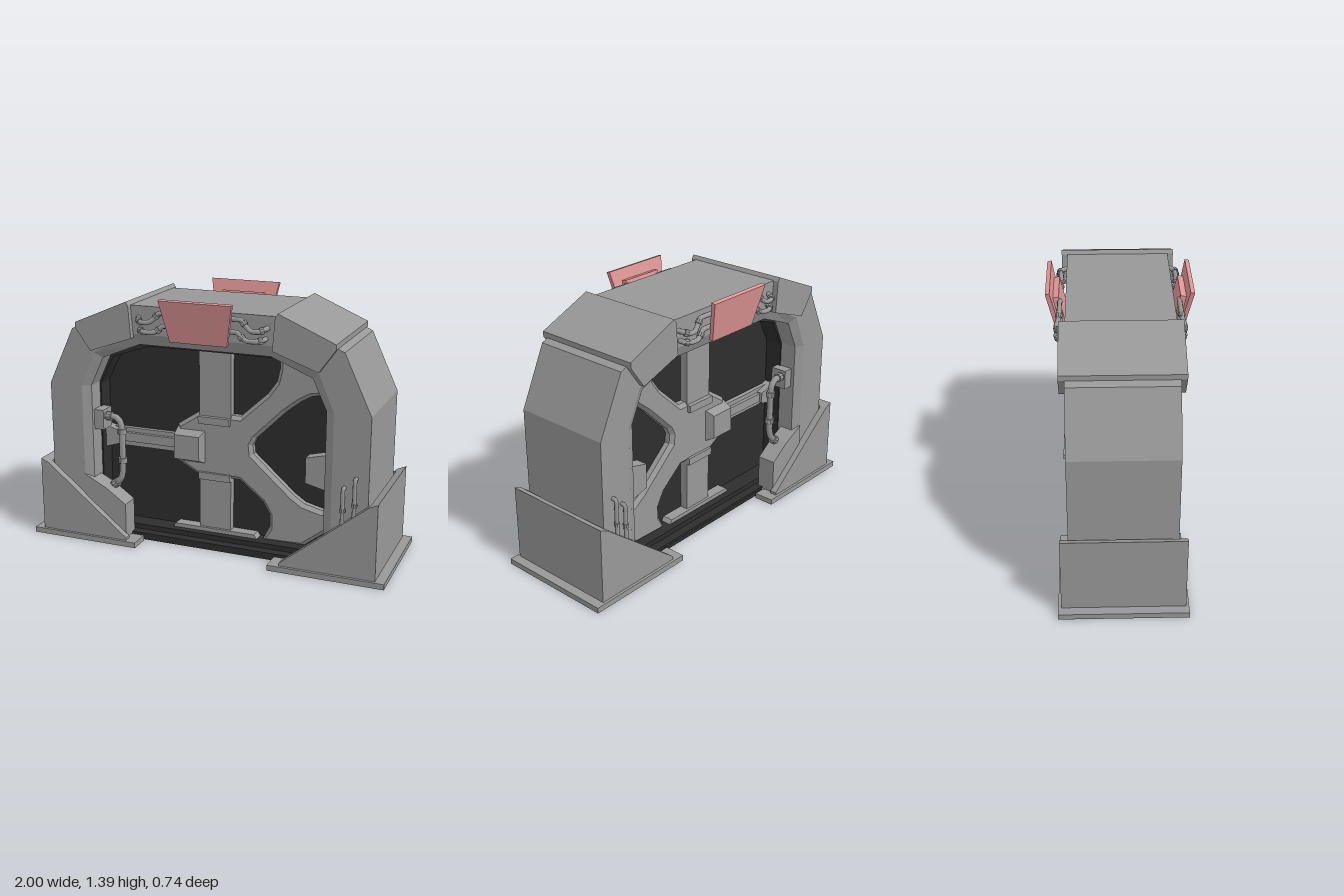
import * as THREE from 'three';

const paint = (color, flatShading = true) => new THREE.MeshStandardMaterial({ color, flatShading, side: THREE.DoubleSide });
const grey = paint(0x989898);
const smooth = paint(0x989898, false);
const dark = paint(0x2d2d2d);
const red = paint(0xe09696);

function add(parent, name, geometry, material = grey) {
  const mesh = new THREE.Mesh(geometry, material);
  mesh.name = name;
  parent.add(mesh);
  return mesh;
}

// Box given by its limits
function box(parent, name, x0, x1, y0, y1, z0, z1, material) {
  const g = new THREE.BoxGeometry(x1 - x0, y1 - y0, z1 - z0);
  g.translate((x0 + x1) / 2, (y0 + y1) / 2, (z0 + z1) / 2);
  return add(parent, name, g, material);
}

const shapeOf = (pts) => new THREE.Shape(pts.map((p) => new THREE.Vector2(...p)));

// Outline in the xy plane pushed from z0 to z1, with an optional bevel
function slab(parent, name, pts, z0, z1, material, bevel = 0, hole = null) {
  const s = shapeOf(pts);
  if (hole) s.holes.push(shapeOf(hole));
  const g = new THREE.ExtrudeGeometry(s, {
    depth: z1 - z0 - 2 * bevel, bevelEnabled: bevel > 0, bevelSegments: 1,
    bevelSize: bevel, bevelThickness: bevel, bevelOffset: -bevel,
  });
  g.translate(0, 0, z0 + bevel);
  return add(parent, name, g, material);
}

// Round pipe with bends, plus collars at the listed fractions
function pipe(parent, name, pts, r, collars = []) {
  const curve = new THREE.CatmullRomCurve3(pts.map((p) => new THREE.Vector3(...p)), false, 'catmullrom', 0.2);
  add(parent, name, new THREE.TubeGeometry(curve, 32, r, 8), smooth);
  for (const t of collars) {
    const c = add(parent, name + 'Collar', new THREE.CylinderGeometry(r * 1.4, r * 1.4, r * 1.6, 10));
    c.position.copy(curve.getPointAt(t));
    c.quaternion.setFromUnitVectors(new THREE.Vector3(0, 1, 0), curve.getTangentAt(t));
  }
}

// Adds a group and its mirrored copy across one axis
function mirror(parent, group, axis) {
  const copy = group.clone();
  copy.scale[axis] *= -1;
  copy.name = group.name + 'Mirrored';
  parent.add(group, copy);
}

function named(name) {
  const g = new THREE.Group();
  g.name = name;
  return g;
}

const arch = (half) => [...half, ...half.map(([x, y]) => [-x, y]).reverse()];

// Arch: a chamfered section carried along matching outer and inner outlines
function archGeometry() {
  const outer = arch([[0.89, 0.03], [0.89, 0.87], [0.745, 1.18], [0.4, 1.33]]);
  const lip = arch([[0.7, 0.03], [0.7, 0.87], [0.62, 1.06], [0.38, 1.18]]);
  const inner = arch([[0.655, 0.03], [0.655, 0.87], [0.58, 1.03], [0.36, 1.12]]);
  const pos = [], idx = [], n = 6;
  outer.forEach((o, i) => {
    const ring = [[o, 0.27], [lip[i], 0.27], [inner[i], 0.245], [inner[i], -0.245], [lip[i], -0.27], [o, -0.27]];
    for (const [p, z] of ring) pos.push(p[0], p[1], z);
  });
  for (let i = 0; i < outer.length - 1; i++)
    for (let j = 0; j < n; j++) {
      const a = i * n + j, b = i * n + (j + 1) % n;
      idx.push(a, a + n, b, b, a + n, b + n);
    }
  const last = (outer.length - 1) * n;
  for (let j = 1; j < n - 1; j++) idx.push(0, j, j + 1, last, last + j + 1, last + j);
  const g = new THREE.BufferGeometry();
  g.setAttribute('position', new THREE.Float32BufferAttribute(pos, 3));
  g.setIndex(idx);
  g.computeVertexNormals();
  return g;
}

export function createModel() {
  const model = named('blastDoorGate');
  add(model, 'archFrame', archGeometry());

  // Dark lining, door panel and channelled sill
  const opening = arch([[0.67, 0.03], [0.67, 0.88], [0.59, 1.05], [0.37, 1.14]]);
  const clear = arch([[0.648, 0.068], [0.648, 0.86], [0.57, 1.015], [0.35, 1.09]]);
  slab(model, 'openingLining', opening, -0.15, 0.15, dark, 0, clear);
  slab(model, 'doorPanel', opening, -0.05, 0.05, dark);
  box(model, 'sillPlate', -0.46, 0.46, 0.025, 0.04, -0.2, 0.2, dark);
  for (const z of [-0.16, 0, 0.16]) box(model, 'sillRail', -0.46, 0.46, 0, 0.03, z - 0.035, z + 0.035, dark);
  box(model, 'sillRib', -0.02, 0.02, 0.005, 0.03, -0.15, 0.15, dark);

  // Forked door brace with a beveled edge
  slab(model, 'doorBrace', [
    [-0.22, 0.66], [-0.1, 0.74], [0.14, 0.74], [0.29, 0.88], [0.34, 0.95], [0.355, 1.02], [0.355, 1.14],
    [0.45, 1.14], [0.68, 1.03], [0.68, 0.88], [0.64, 0.88], [0.59, 0.9], [0.53, 0.89], [0.47, 0.855], [0.39, 0.79],
    [0.23, 0.63], [0.21, 0.59], [0.215, 0.54], [0.44, 0.34], [0.5, 0.3], [0.6, 0.275], [0.68, 0.29], [0.68, 0.2],
    [0.5, 0.06], [0.27, 0.06], [0.31, 0.14], [0.31, 0.21], [0.27, 0.28], [0.14, 0.385], [-0.1, 0.385], [-0.22, 0.45],
  ], -0.1, 0.1, grey, 0.02);

  // Vertical bars with sockets
  box(model, 'upperBar', -0.09, 0.09, 0.72, 1.12, -0.095, 0.095);
  box(model, 'lowerBar', -0.09, 0.09, 0.07, 0.39, -0.095, 0.095);
  box(model, 'upperSocket', -0.09, 0.09, 0.685, 0.725, -0.12, 0.12);
  box(model, 'lowerSocket', -0.09, 0.09, 0.37, 0.41, -0.115, 0.115);
  slab(model, 'lowerBarFoot', [[-0.26, 0.05], [0.26, 0.05], [0.23, 0.09], [-0.23, 0.09]], -0.11, 0.11);

  // Horizontal locking bar
  box(model, 'lockBar', -0.65, -0.2, 0.495, 0.6, -0.075, 0.075);
  box(model, 'lockBarRib', -0.6, -0.2, 0.525, 0.575, -0.095, 0.095);
  slab(model, 'lockBarEnd', [[-0.65, 0.485], [-0.54, 0.52], [-0.54, 0.58], [-0.65, 0.61]], -0.11, 0.11);

  // Parts repeated on front and back
  const face = named('faceParts');
  slab(face, 'lockReceiver', [[0.55, 0.475], [0.69, 0.44], [0.69, 0.645], [0.55, 0.61]], 0.17, 0.235);
  const hub = box(face, 'hubBox', -0.22, -0.05, 0.45, 0.65, 0.08, 0.145);
  const p = hub.geometry.attributes.position;
  for (let i = 0; i < p.count; i++) {
    if (p.getZ(i) < 0.1) continue;
    p.setY(i, p.getY(i) > 0.55 ? 0.615 : 0.48);
    if (p.getX(i) > -0.1) p.setX(i, -0.075);
  }
  box(face, 'pipeBracket', -0.67, -0.6, 0.62, 0.73, 0.13, 0.225);
  pipe(face, 'sidePipe', [[-0.6, 0.695, 0.2], [-0.54, 0.695, 0.2], [-0.512, 0.67, 0.2], [-0.502, 0.62, 0.2],
    [-0.502, 0.4, 0.2], [-0.515, 0.345, 0.2], [-0.545, 0.315, 0.2], [-0.58, 0.29, 0.2]], 0.018,
  [0.05, 0.3, 0.62, 0.92]);
  slab(face, 'pillarToe', [[-0.7, 0.03], [-0.455, 0.03], [-0.455, 0.225], [-0.57, 0.305], [-0.7, 0.37]], 0.17, 0.275);

  // Hooked pipes on the left pillar
  for (const [x, top] of [[0.765, 0.5], [0.825, 0.555]]) {
    pipe(face, 'hookPipe', [[x, 0.15, 0.295], [x, top - 0.03, 0.295], [x, top - 0.008, 0.288], [x, top - 0.01, 0.25]],
      0.011, [0.6]);
  }

  // Tilted sign with a smaller backing plate
  const sign = named('sign');
  slab(sign, 'signPlate', [[-0.155, 0], [0.155, 0], [0.197, 0.222], [-0.197, 0.222]], 0, 0.022, red);
  slab(sign, 'signBacking', [[-0.12, 0.02], [0.12, 0.02], [0.12, 0.16], [-0.12, 0.16]], -0.03, 0, red);
  sign.position.set(0, 1.17, 0.3);
  sign.rotation.x = 0.215;
  face.add(sign);

  // Cable pairs on each side of the sign
  const cables = named('cables');
  pipe(cables, 'upperCable', [[0.1, 1.305, 0.3], [0.22, 1.305, 0.3], [0.25, 1.275, 0.305], [0.28, 1.255, 0.315],
    [0.32, 1.255, 0.315], [0.345, 1.265, 0.295], [0.355, 1.27, 0.25]], 0.013, [0.45, 0.8]);
  pipe(cables, 'lowerCable', [[0.1, 1.24, 0.3], [0.2, 1.24, 0.3], [0.23, 1.215, 0.305], [0.26, 1.205, 0.315],
    [0.305, 1.205, 0.315], [0.335, 1.21, 0.295], [0.345, 1.215, 0.25]], 0.013, [0.45, 0.8]);
  mirror(face, cables, 'x');
  mirror(model, face, 'z');

  // Parts repeated on left and right
  const side = named('sideParts');
  slab(side, 'cornerBlock', [[0.71, 1.195], [0.71, 1.222], [0.412, 1.35], [0.398, 1.33], [0.385, 1.16], [0.625, 1.075]],
    -0.3, 0.3);
  slab(side, 'footWall', [[0.95, 0.03], [0.95, 0.44], [0.905, 0.42], [0.905, 0.03]], -0.31, 0.31);
  box(side, 'footFloor', 0.88, 0.95, 0.03, 0.04, -0.3, 0.3);
  const gusset = [[0.95, 0.03], [0.95, 0.44], [0.905, 0.42], [0.44, 0.045], [0.44, 0.03]];
  slab(side, 'frontGusset', gusset, 0.27, 0.31);
  slab(side, 'backGusset', gusset, -0.31, -0.27);

  // U-shaped base flange lying flat
  const flange = slab(side, 'baseFlange', [[1, -0.325], [1, 0.325], [0.38, 0.325], [0.38, 0.21], [0.45, 0.21],
    [0.5, 0.27], [0.94, 0.27], [0.94, -0.27], [0.5, -0.27], [0.45, -0.21], [0.38, -0.21], [0.38, -0.325]], 0, 0.03);
  flange.rotation.x = -Math.PI / 2;
  mirror(model, side, 'x');

  return model;
}
